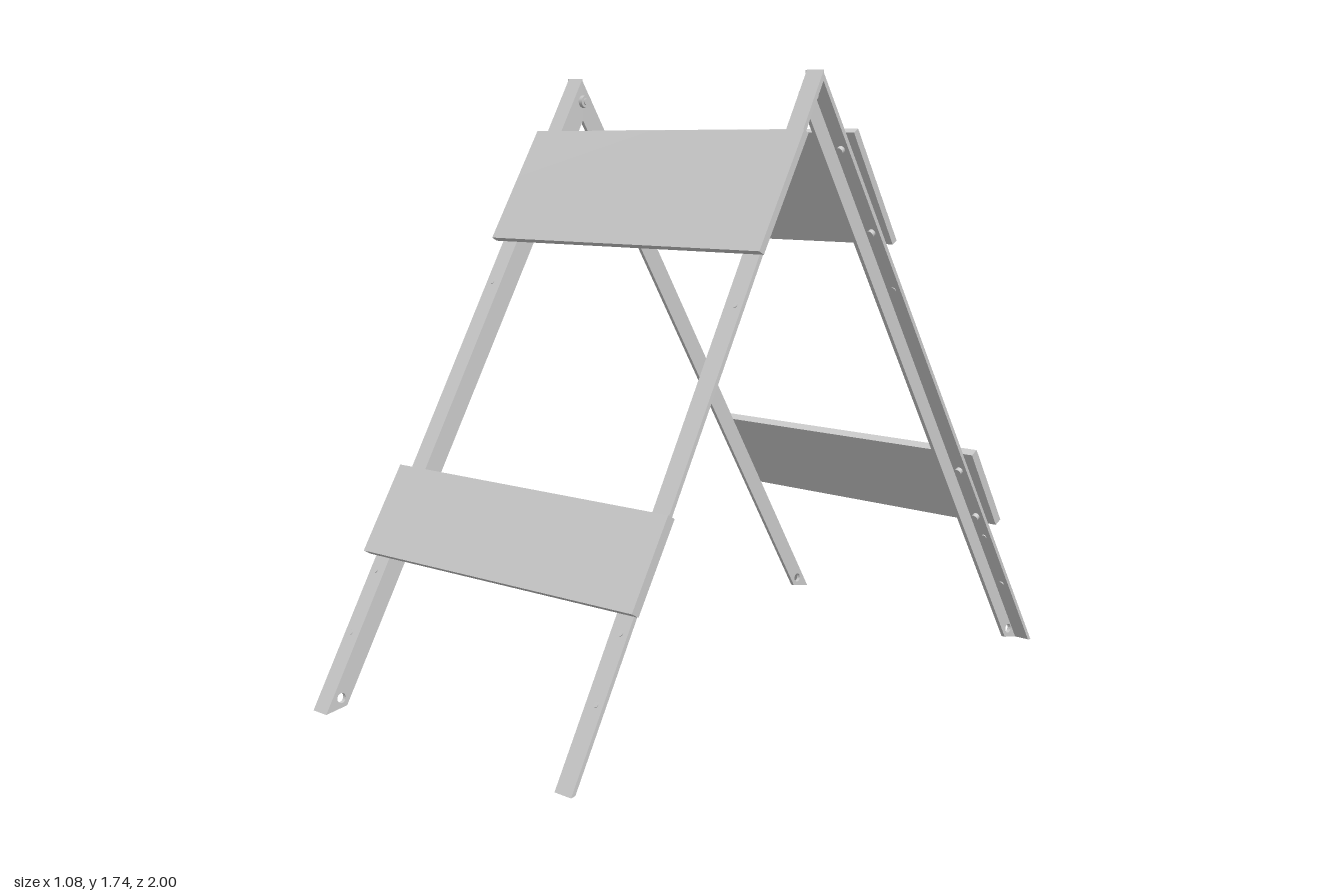
import * as THREE from 'three';

const material = new THREE.MeshStandardMaterial({ color: 0xcccccc });
const WIDTH = 0.06;   // flange width of the angle-iron legs
const WALL = 0.012;   // flange thickness
const { lerp } = THREE.MathUtils;

// Outer face centre line of each leg: side (+1 = left), apex and foot
const frames = [
  { name: 'front', s: 1, legs: [
    { side: 1, h: 1.735, topX: 0.4525, footX: 0.5025, footZ: 0.96 },
    { side: -1, h: 1.72, topX: -0.493, footX: -0.447, footZ: 1.0 }] },
  { name: 'back', s: -1, legs: [
    { side: 1, h: 1.735, topX: 0.448, footX: 0.485, footZ: 0.97 },
    { side: -1, h: 1.72, topX: -0.497, footX: -0.46, footZ: 1.0 }] },
];

// Boards: horizontal extent, height extent at x = 0, slope and thickness
const boards = [
  { name: 'upperBoard', x0: -0.54, x1: 0.51, y0: 1.255, y1: 1.563, slope: 0.013, t: 0.02 },
  { name: 'lowerBoard', x0: -0.513, x1: 0.535, y0: 0.398, y1: 0.625, slope: 0.006, t: 0.026 },
];

const legX = (leg, y) => lerp(leg.footX, leg.topX, y / leg.h);
const legZ = (leg, y) => leg.footZ * (1 - y / leg.h);

function add(group, name, geometry) {
  const mesh = new THREE.Mesh(geometry, material);
  mesh.name = name;
  group.add(mesh);
  return mesh;
}

// Mitred strip in the z-y plane, extruded over x0..x1 and leaned with the leg
function strip(leg, s, depth, x0, x1, hole) {
  const slant = Math.hypot(leg.h, leg.footZ);
  const dz = depth * slant / leg.h;       // horizontal cut at the foot
  const dy = depth * slant / leg.footZ;   // vertical cut at the apex
  const shape = new THREE.Shape([
    [0, leg.h], [leg.footZ, 0], [leg.footZ - dz, 0.012 * depth / WIDTH], [0, leg.h - dy],
  ].map(([z, y]) => new THREE.Vector2(s * z, y)));
  if (hole) {
    const path = new THREE.Path();
    path.absarc(s * (leg.footZ - 0.052), 0.036, 0.014, 0, Math.PI * 2);
    shape.holes.push(path);
  }
  const g = new THREE.ExtrudeGeometry(shape, { depth: x1 - x0, bevelEnabled: false, curveSegments: 8 });
  g.rotateY(-Math.PI / 2).translate(x1, 0, 0);
  const p = g.attributes.position;
  for (let i = 0; i < p.count; i++) p.setX(i, p.getX(i) + legX(leg, p.getY(i)));
  g.computeVertexNormals();
  return g;
}

// Board resting on the slanted plane through both legs of a frame
function boardGeometry(frame, b) {
  const [left, right] = frame.legs;
  const g = new THREE.BoxGeometry(1, 1, 1);
  const p = g.attributes.position;
  for (let i = 0; i < p.count; i++) {
    const x = lerp(b.x0, b.x1, 0.5 + frame.s * p.getX(i));
    const y = lerp(b.y0, b.y1, 0.5 + p.getY(i)) + b.slope * x;
    const k = (x - legX(right, y)) / (legX(left, y) - legX(right, y));
    const z = lerp(legZ(right, y), legZ(left, y), k);
    const out = (p.getZ(i) + 0.5) * b.t;
    p.setXYZ(i, x, y + 0.5 * out, frame.s * (z + 0.866 * out));
  }
  g.computeVertexNormals();
  return g;
}

// Bolt or rivet through the face flange, spanning offsets n0..n1 along its normal
function faceBolt(group, name, leg, s, y, radius, n0, n1) {
  const bolt = add(group, name, new THREE.CylinderGeometry(radius, radius, n1 - n0, 10));
  const n = (n0 + n1) / 2;
  bolt.position.set(legX(leg, y) + leg.side * 0.006, y + 0.5 * n, s * (legZ(leg, y) + 0.866 * n));
  bolt.rotation.x = s * Math.PI / 3;
}

export function createModel() {
  const model = new THREE.Group();
  model.name = 'foldingBarricade';

  for (const frame of frames) {
    const group = new THREE.Group();
    group.name = frame.name + 'Frame';
    model.add(group);

    for (const leg of frame.legs) {
      const legGroup = new THREE.Group();
      legGroup.name = leg.side > 0 ? 'leftLeg' : 'rightLeg';
      group.add(legGroup);
      // Face flange, with the side flange along its inner edge
      add(legGroup, 'faceFlange', strip(leg, frame.s, WALL, -WIDTH / 2, WIDTH / 2, false));
      const inner = -leg.side * (WIDTH / 2 - WALL / 2);
      add(legGroup, 'sideFlange',
        strip(leg, frame.s, WIDTH, inner - WALL / 2, inner + WALL / 2, true));
      // Board bolts on the inside, small rivets on the exposed face
      for (const y of [1.53, 1.3, 0.58, 0.43])
        faceBolt(legGroup, 'boardBolt', leg, frame.s, y, 0.011, -0.024, 0);
      for (const y of [1.135, 0.36, 0.2])
        faceBolt(legGroup, 'rivet', leg, frame.s, y, 0.008, -0.014, 0.002);
    }
    for (const b of boards) add(group, b.name, boardGeometry(frame, b));
  }

  // Pivot bolts joining the two frames at the apex
  for (const leg of frames[0].legs) {
    const y = leg.h - 0.067;
    const x = legX(leg, y) - leg.side * WIDTH / 2;
    const pivot = new THREE.Group();
    pivot.name = leg.side > 0 ? 'leftPivot' : 'rightPivot';
    pivot.position.set(x, y, 0);
    model.add(pivot);
    for (const [name, r, len, offset] of [['head', 0.019, 0.014, -0.008], ['shank', 0.011, 0.05, 0.006], ['nut', 0.017, 0.012, 0.018]]) {
      const part = add(pivot, name, new THREE.CylinderGeometry(r, r, len, name === 'nut' ? 6 : 14));
      part.rotation.z = Math.PI / 2;
      part.position.x = leg.side * offset;
    }
  }
  return model;
}
